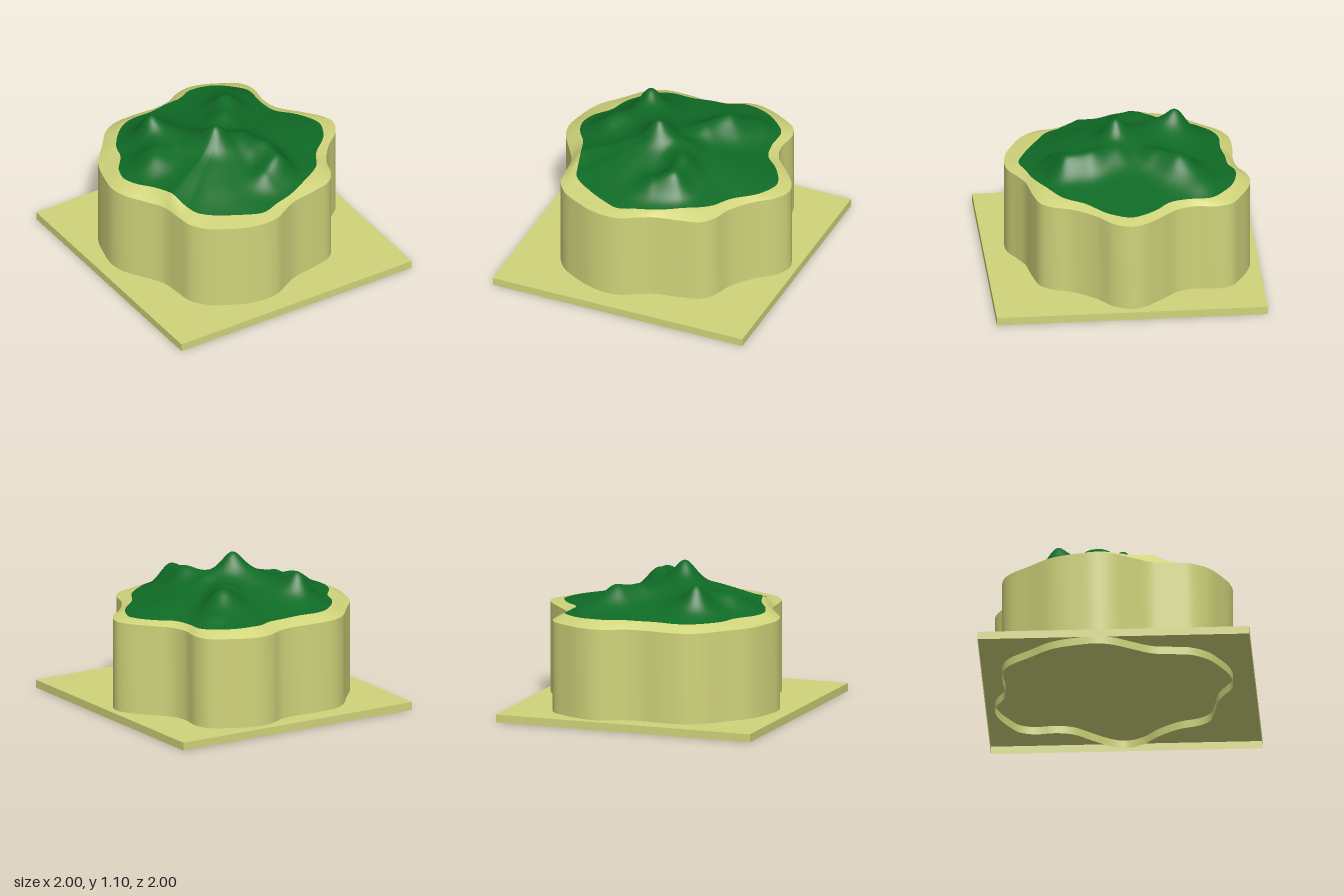
import * as THREE from 'three';

const TAU = Math.PI * 2;
const SEG = 240;

// Shoreline outline and tree line outline as x, z pairs
const SHORE = [.945, 0, .915, -.1, .81, -.235, .695, -.37, .66, -.5, .675, -.66, .635, -.77, .525, -.845,
  .39, -.91, .27, -.935, .155, -.91, .06, -.86, -.075, -.84, -.235, -.85, -.42, -.84, -.53, -.785,
  -.66, -.635, -.8, -.465, -.86, -.29, -.885, -.13, -.855, -.01, -.77, .13, -.69, .27, -.668, .43,
  -.65, .555, -.567, .675, -.42, .765, -.29, .82, -.155, .84, -.05, .825, .06, .765, .165, .715,
  .35, .68, .51, .635, .58, .555, .635, .405, .755, .245, .89, .125];
const FOREST = [.835, 0, .82, -.075, .745, -.2, .635, -.315, .605, -.45, .605, -.62, .54, -.705, .405, -.8,
  .22, -.83, .11, -.785, -.02, -.775, -.155, -.755, -.34, -.755, -.45, -.705, -.6, -.535, -.65, -.395,
  -.75, -.26, -.78, -.14, -.745, -.02, -.665, .11, -.62, .245, -.58, .405, -.545, .5, -.395, .61,
  -.26, .685, -.12, .738, .03, .695, .165, .66, .35, .57, .51, .46, .605, .31, .765, .155];
// Height of the tree line: angle in degrees (from +x towards +z), y
const EDGE = [[0, .76], [40, .775], [60, .785], [80, .77], [100, .76], [130, .762], [145, .785], [157, .835],
  [170, .815], [190, .79], [225, .785], [270, .795], [290, .795], [320, .775], [360, .76]];

// Linear lookup in a sorted list of [key, value]
function lookup(list, k) {
  let i = 1;
  while (i < list.length - 1 && list[i][0] < k) i++;
  const [a, b] = [list[i - 1], list[i]];
  return a[1] + (b[1] - a[1]) * (k - a[0]) / (b[0] - a[0] || 1);
}

// Radius of a closed smooth outline for each of the SEG directions
function radii(flat) {
  const pts = [];
  for (let i = 0; i < flat.length; i += 2) pts.push(new THREE.Vector3(flat[i], 0, flat[i + 1]));
  const polar = new THREE.CatmullRomCurve3(pts, true).getPoints(600).slice(0, -1)
    .map(p => [(Math.atan2(p.z, p.x) + TAU) % TAU, Math.hypot(p.x, p.z)])
    .sort((a, b) => a[0] - b[0]);
  const first = polar[0], last = polar[polar.length - 1];
  const list = [[last[0] - TAU, last[1]], ...polar, [first[0] + TAU, first[1]]];
  return Array.from({ length: SEG }, (_, i) => lookup(list, i / SEG * TAU));
}

// Surface of closed rings; point(i, v) returns [radius, y]
function rings(count, point) {
  const pos = [], idx = [];
  for (let j = 0; j <= count; j++) {
    for (let i = 0; i < SEG; i++) {
      const t = i / SEG * TAU, [r, y] = point(i, j / count);
      pos.push(r * Math.cos(t), y, r * Math.sin(t));
      if (j === count) continue;
      const a = j * SEG + i, b = j * SEG + (i + 1) % SEG;
      idx.push(a, b, a + SEG, b, b + SEG, a + SEG);
    }
  }
  const g = new THREE.BufferGeometry();
  g.setAttribute('position', new THREE.Float32BufferAttribute(pos, 3));
  g.setIndex(idx);
  g.computeVertexNormals();
  return g;
}

// Hills and ridges: x0, z0, x1, z1, height, width
const HILLS = [
  [-.09, .03, -.09, .03, .09, .2], [-.09, .03, -.09, .03, .125, .07],     // main peak
  [-.37, -.45, -.37, -.45, .08, .15], [-.37, -.45, -.37, -.45, .11, .06], // second peak
  [-.55, -.13, -.53, -.16, .095, .1],                                     // west knoll
  [.17, -.27, .27, -.4, .085, .09], [.3, -.45, .45, -.58, .06, .1],       // north-east ridge
  [.14, .06, .2, .25, .05, .08], [.2, .25, .2, .42, .07, .08],            // south-east ridge
  [.2, .44, .06, .49, .08, .075],
  [-.2, -.12, -.32, -.32, .05, .1],                                       // saddle
  [-.3, .3, -.3, .35, .03, .15],
];
function hillHeight(x, z) {
  let h = 0;
  for (const [x0, z0, x1, z1, amp, w] of HILLS) {
    const dx = x1 - x0, dz = z1 - z0;
    const k = THREE.MathUtils.clamp(((x - x0) * dx + (z - z0) * dz) / (dx * dx + dz * dz || 1), 0, 1);
    const d = Math.hypot(x - x0 - dx * k, z - z0 - dz * k);
    h += amp * Math.exp(-d * d / (2 * w * w));
  }
  return h;
}

export function createModel() {
  const group = new THREE.Group();
  const sand = new THREE.MeshStandardMaterial({ color: 0xd0d47a, side: THREE.DoubleSide });
  const green = new THREE.MeshStandardMaterial({ color: 0x0f6b26, side: THREE.DoubleSide });
  const add = (name, geometry, material) => {
    const mesh = new THREE.Mesh(geometry, material);
    mesh.name = name;
    group.add(mesh);
  };
  const shore = radii(SHORE), forest = radii(FOREST);
  const edge = forest.map((_, i) => lookup(EDGE, i / SEG * 360));
  const rim = .74;

  // Square base plate, open underneath
  const plate = new THREE.BoxGeometry(2, .06, 2).translate(0, .03, 0);
  const index = Array.from(plate.index.array);
  index.splice(18, 6);
  plate.setIndex(index);
  plate.clearGroups();
  add('basePlate', plate, sand);

  // Vertical island wall, reaching down through the plate
  add('islandWall', rings(1, (i, v) => [shore[i], rim * (1 - v)]), sand);

  // Sloping beach between the tree line and the rim
  add('beach', rings(6, (i, v) => [
    THREE.MathUtils.lerp(forest[i], shore[i], v),
    THREE.MathUtils.lerp(edge[i], rim, Math.pow(v, 1.15)),
  ]), sand);

  // Wooded hills
  add('hills', rings(56, (i, u) => {
    const r = forest[i] * u, t = i / SEG * TAU;
    const base = THREE.MathUtils.lerp(.88, edge[i], Math.pow(u, 1.5));
    return [r, base + hillHeight(r * Math.cos(t), r * Math.sin(t)) * (1 - Math.pow(u, 7))];
  }), green);

  return group;
}
